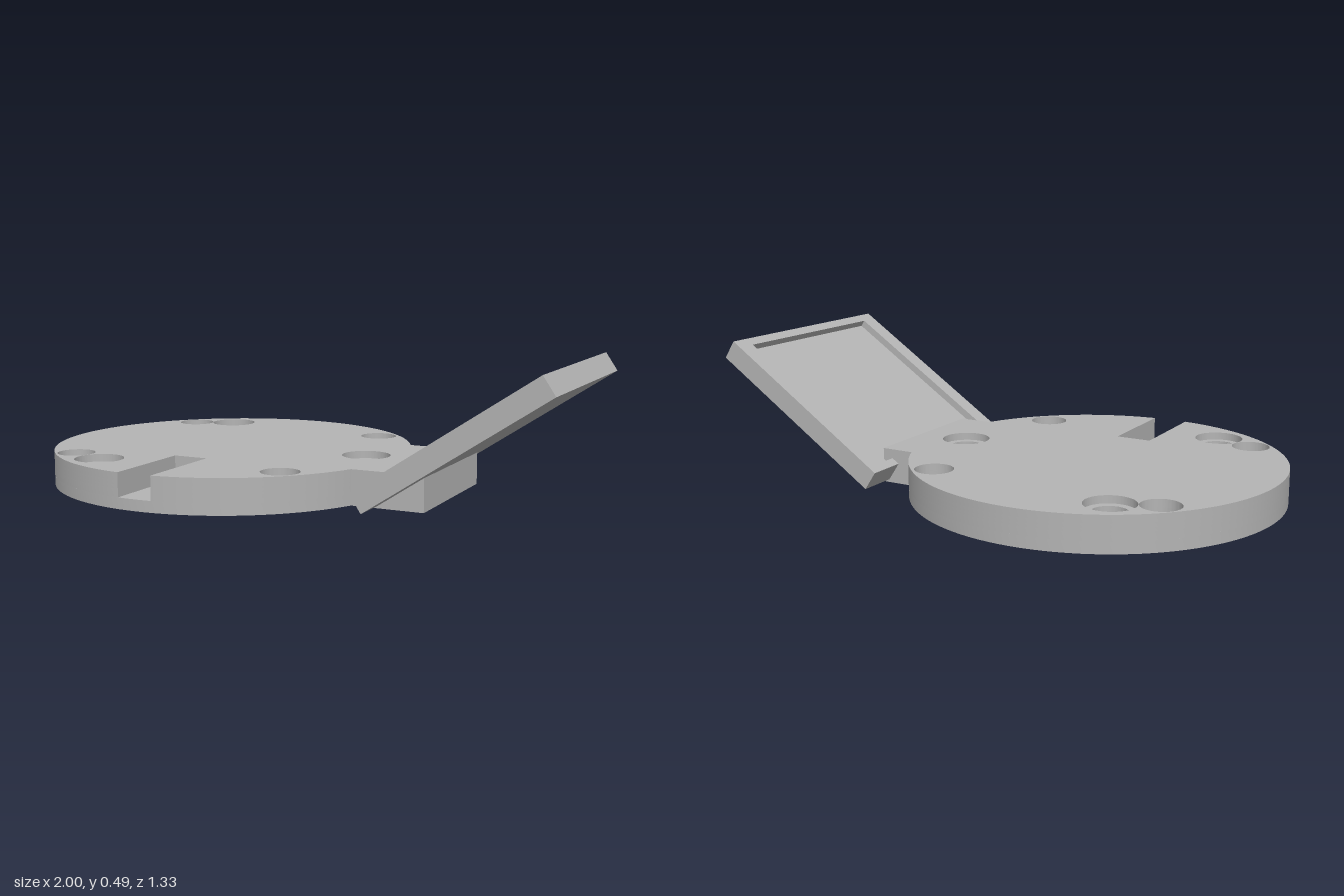
import * as THREE from 'three';
import { toCreasedNormals } from 'three/addons/utils/BufferGeometryUtils.js';

const H = 0.125;                       // base thickness
const CX = -0.335, R = 0.665;          // disc centre and radius
const NECK_X = 0.395, NECK_Z = 0.27;   // neck end and half width
const SLOT = { x0: -0.4, x1: -0.27, z: 0.31 };

// screw holes: plain deep bores and two-step bores, as [x, z]
const boredHoles = [[-0.755, -0.415], [-0.755, 0.415], [0.08, -0.415], [0.08, 0.415]];
const steppedHoles = [[-0.61, -0.475], [-0.61, 0.475], [0.21, 0]];

// outline of disc and neck, drawn in plan with shape y = -z
function baseOutline(withSlot) {
  const s = new THREE.Shape();
  const a = Math.asin(NECK_Z / R);
  s.moveTo(NECK_X, -NECK_Z);
  s.lineTo(NECK_X, NECK_Z);
  if (withSlot) {
    const b0 = 2 * Math.PI - Math.acos((SLOT.x0 - CX) / R);
    const b1 = 2 * Math.PI - Math.acos((SLOT.x1 - CX) / R);
    s.absarc(CX, 0, R, a, b0, false);
    s.lineTo(SLOT.x0, -SLOT.z);
    s.lineTo(SLOT.x1, -SLOT.z);
    s.absarc(CX, 0, R, b1, 2 * Math.PI - a, false);
  } else {
    s.absarc(CX, 0, R, a, 2 * Math.PI - a, false);
  }
  s.closePath();
  return s;
}

function addHole(shape, x, z, r) {
  const p = new THREE.Path();
  p.absarc(x, -z, r, 0, 2 * Math.PI, true);
  shape.holes.push(p);
}

function extrude(shape, depth) {
  const g = new THREE.ExtrudeGeometry(shape, { depth, bevelEnabled: false, curveSegments: 48 });
  return toCreasedNormals(g, 0.5);
}

export function createModel() {
  const group = new THREE.Group();
  const grey = new THREE.MeshStandardMaterial({ color: 0xb4b4b4 });
  grey.name = 'grey';
  const add = (parent, name, geometry) => {
    const m = new THREE.Mesh(geometry, grey);
    m.name = name;
    parent.add(m);
    return m;
  };

  // base disc in layers, each with its own bore radii
  const base = new THREE.Group();
  base.name = 'baseDisc';
  group.add(base);
  const layers = [
    { y0: 0, y1: 0.04, slot: false, bore: 0.034, step: 0.034, well: true },
    { y0: 0.04, y1: 0.07, slot: true, bore: 0.068, step: 0.034, well: true },
    { y0: 0.07, y1: 0.082, slot: true, bore: 0.068, step: 0.06, well: true },
    { y0: 0.082, y1: 0.098, slot: true, bore: 0.068, step: 0.06, well: false },
    { y0: 0.098, y1: H, slot: true, bore: 0.068, step: 0.087, well: false },
  ];
  layers.forEach((l, i) => {
    const s = baseOutline(l.slot);
    boredHoles.forEach(([x, z]) => addHole(s, x, z, l.bore));
    steppedHoles.forEach(([x, z]) => addHole(s, x, z, l.step));
    if (l.well) addHole(s, CX, 0, 0.28);   // round well open below
    const g = extrude(s, l.y1 - l.y0);
    g.rotateX(-Math.PI / 2).translate(0, l.y0, 0);
    add(base, 'baseLayer' + (i + 1), g);
  });

  // wedge that carries the panel
  const wedge = new THREE.Shape([[NECK_X, 0], [0.535, 0], [0.535, 0.121], [NECK_X, 0.045]]
    .map(([x, y]) => new THREE.Vector2(x, y)));
  add(group, 'panelSupport', extrude(wedge, 2 * NECK_Z).translate(0, 0, -NECK_Z));

  // tilted tray: origin at its lower outer corner, local x runs up the slope
  const L = 0.755, T = 0.077, W = 0.415, DEPTH = 0.027;
  const tray = new THREE.Group();
  tray.name = 'tiltedTray';
  tray.position.set(0.373, 0.01, 0);
  tray.rotation.z = Math.atan2(0.415, 0.627);
  group.add(tray);

  const floor = new THREE.BoxGeometry(L, T - DEPTH, 2 * W);
  add(tray, 'trayFloor', floor.translate(L / 2, (T - DEPTH) / 2, 0));

  const rect = (Type, x0, x1, w) => new Type([[x0, -w], [x1, -w], [x1, w], [x0, w]]
    .map(([x, y]) => new THREE.Vector2(x, y)));
  const rim = rect(THREE.Shape, 0, L, W);
  rim.holes.push(rect(THREE.Path, 0.032, L - 0.036, 0.345));
  add(tray, 'trayRim', extrude(rim, DEPTH).rotateX(-Math.PI / 2).translate(0, T - DEPTH, 0));

  return group;
}
